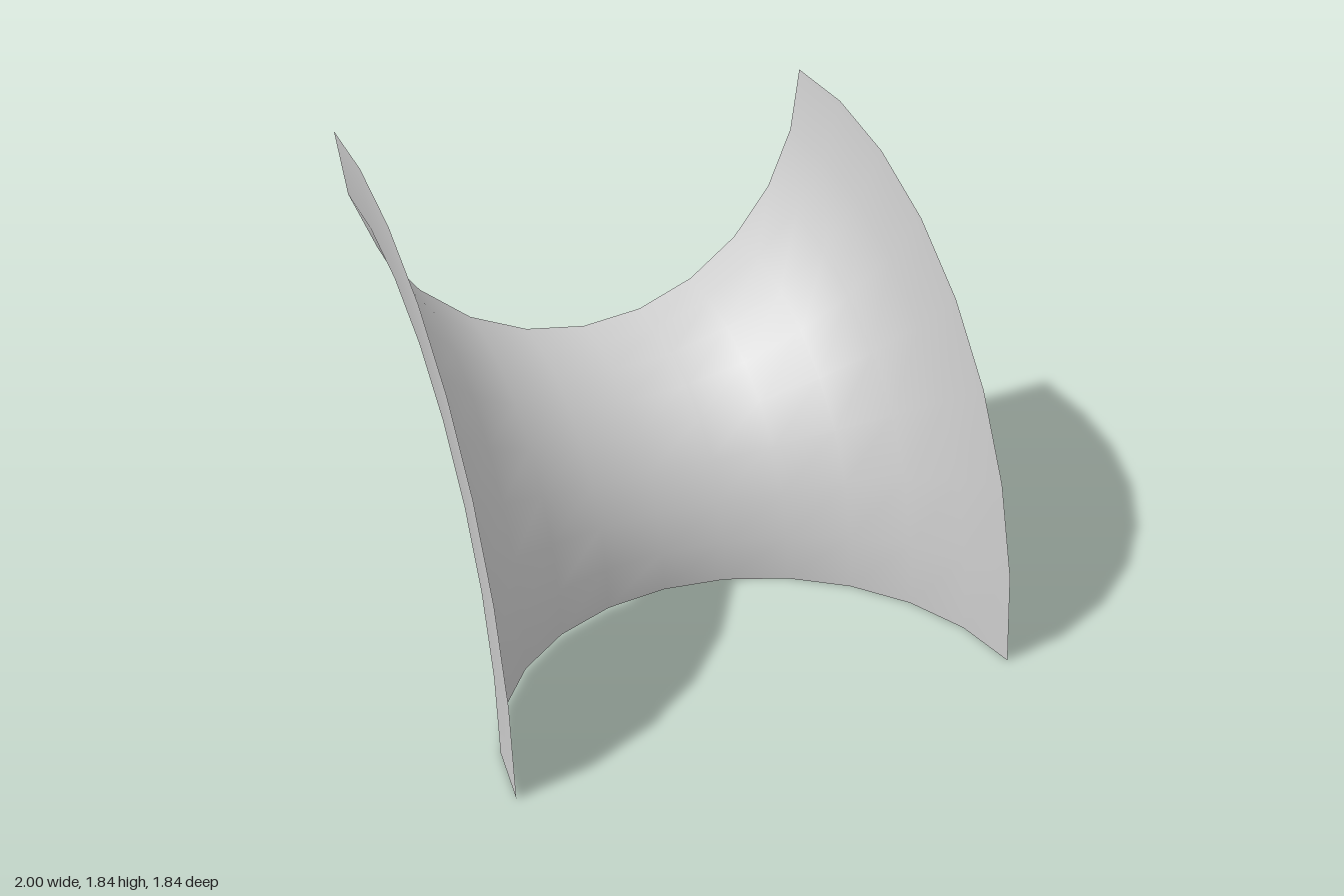
import * as THREE from 'three';

const TUBE = 1;     // radius of the trough's half-round section
const BEND = 1.836; // radius of the quarter-turn bend
const SECTION_STEPS = 12;
const BEND_STEPS = 8;

export function createModel() {
  const group = new THREE.Group();
  group.name = 'curvedTrough';

  // Half-circle section, facing the bend axis
  const profile = [];
  for (let i = 0; i <= SECTION_STEPS; i++) {
    const a = (i / SECTION_STEPS - 0.5) * Math.PI;
    profile.push(new THREE.Vector2(BEND - TUBE * Math.cos(a), TUBE * Math.sin(a)));
  }

  // Quarter turn, laid over so the bend axis runs along x at the lower back edge
  const geometry = new THREE.LatheGeometry(profile, BEND_STEPS, 0, Math.PI / 2);
  geometry.rotateZ(Math.PI / 2);
  geometry.translate(0, 0, -BEND / 2);

  const material = new THREE.MeshStandardMaterial({ color: 0xcccccc, side: THREE.DoubleSide });
  const saddle = new THREE.Mesh(geometry, material);
  saddle.name = 'saddleSurface';
  group.add(saddle);
  return group;
}
